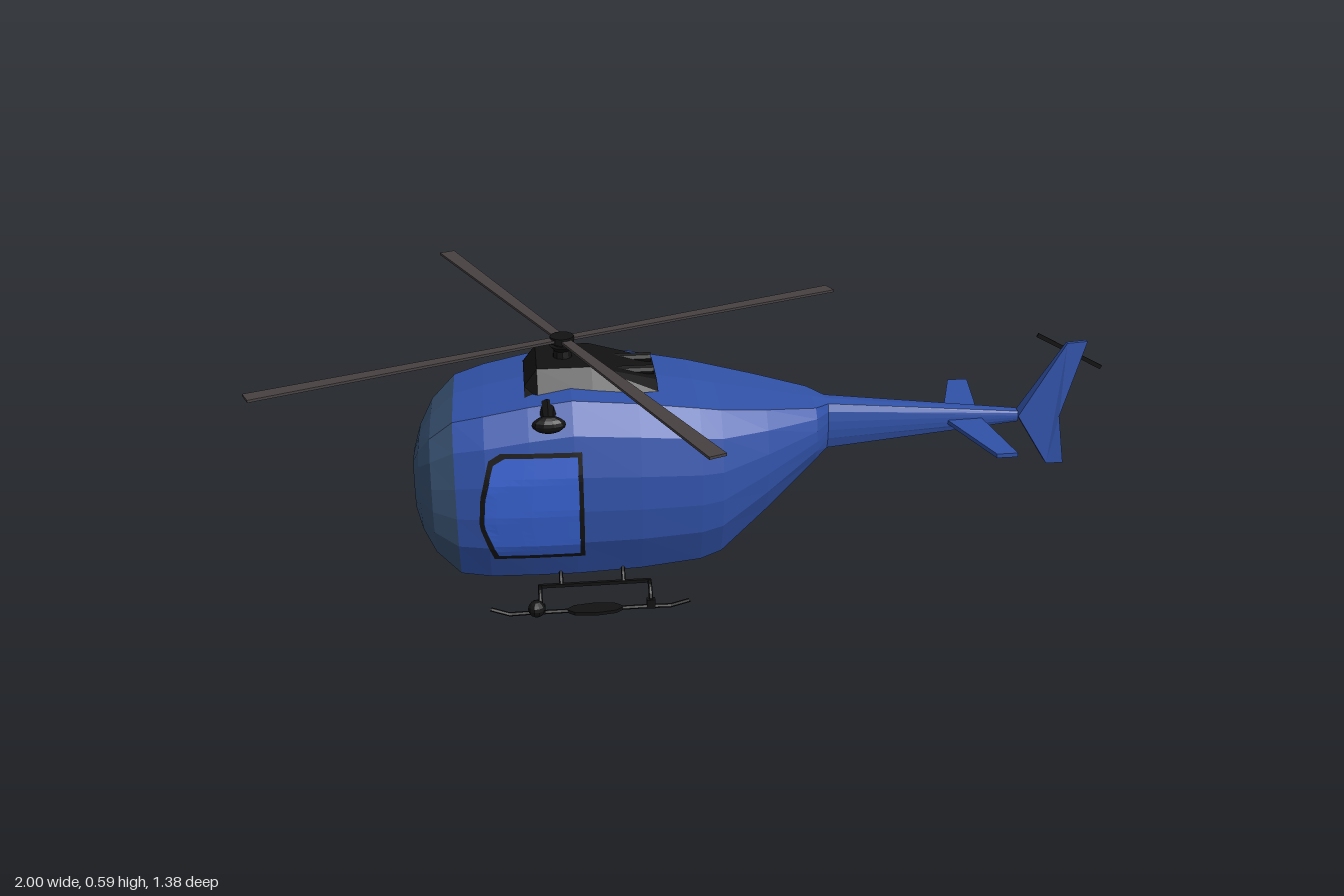
import * as THREE from 'three';

const mat = (color) => new THREE.MeshStandardMaterial({ color, flatShading: true, side: THREE.DoubleSide });
const BLUE = mat(0x3152a8), DOOR = mat(0x365fcb), GLASS = mat(0x3a5475);
const BLACK = mat(0x121212), BLADE = mat(0x474142);

// Fuselage stations: x, half width, bottom y, top y
const STATIONS = [
  [-0.67, 0.06, 0.19, 0.31], [-0.655, 0.115, 0.155, 0.355], [-0.625, 0.175, 0.115, 0.405],
  [-0.57, 0.212, 0.07, 0.457], [-0.5, 0.235, 0.067, 0.475], [-0.4, 0.243, 0.067, 0.495],
  [-0.3, 0.246, 0.067, 0.508], [-0.15, 0.241, 0.071, 0.492], [-0.01, 0.222, 0.078, 0.468],
  [0.04, 0.21, 0.092, 0.457], [0.15, 0.165, 0.178, 0.436], [0.275, 0.1, 0.278, 0.412],
  [0.312, 0.042, 0.288, 0.404], [0.785, 0.016, 0.325, 0.352],
];
// Half cross-section: fraction of half width, fraction of height
const PROFILE = [[0, 0], [0.77, 0.005], [0.96, 0.24], [1, 0.43], [0.985, 0.62], [0.9, 0.83], [0.69, 0.975], [0, 1]];

const halfRing = ([x, w, lo, hi]) => PROFILE.map(([z, y]) => [x, lo + y * (hi - lo), z * w]);
const closeRing = (half) => [...half, ...half.slice(1, -1).reverse().map(([x, y, z]) => [x, y, -z])];

// Skin over closed rings that follow one another along +x
function loft(rings, capStart = true, capEnd = true) {
  const n = rings[0].length, index = [];
  for (let i = 0; i < rings.length - 1; i++) {
    for (let j = 0; j < n; j++) {
      const k = (j + 1) % n, a = i * n + j, b = i * n + k;
      index.push(a, a + n, b, b, a + n, b + n);
    }
  }
  const e = (rings.length - 1) * n;
  for (let j = 1; j < n - 1; j++) {
    if (capStart) index.push(0, j, j + 1);
    if (capEnd) index.push(e, e + j + 1, e + j);
  }
  return buffer(rings.flat(2), index);
}

function buffer(positions, index) {
  const g = new THREE.BufferGeometry();
  g.setAttribute('position', new THREE.Float32BufferAttribute(positions, 3));
  g.setIndex(index);
  g.computeVertexNormals();
  return g;
}

// Half width of the fuselage skin at (x, y)
function skinZ(x, y) {
  const i = Math.max(1, STATIONS.findIndex((s) => s[0] >= x));
  const A = STATIONS[i - 1], B = STATIONS[i], t = (x - A[0]) / (B[0] - A[0]);
  const half = halfRing(A.map((v, k) => v + (B[k] - v) * t));
  const j = Math.max(1, half.findIndex((p) => p[1] >= y));
  const p = half[j - 1], q = half[j];
  return p[2] + ((q[2] - p[2]) * (y - p[1])) / (q[1] - p[1]);
}

// Door panel hugging the skin; grow widens the outline, lift raises it
const DOOR_EDGE = [[0.14, -0.48], [0.225, -0.51], [0.29, -0.505], [0.372, -0.483], [0.388, -0.455]];
function doorPatch(side, grow, lift) {
  const pos = [], index = [], rows = 16, cols = 8;
  for (let r = 0; r <= rows; r++) {
    const y0 = 0.14 + (0.248 * r) / rows;
    const k = Math.max(1, DOOR_EDGE.findIndex((p) => p[0] >= y0 - 1e-6));
    const [p, q] = [DOOR_EDGE[k - 1], DOOR_EDGE[k]];
    const left = p[1] + ((q[1] - p[1]) * (y0 - p[0])) / (q[0] - p[0]) - grow, right = -0.293 + grow;
    const y = y0 + grow * ((2 * r) / rows - 1);
    for (let c = 0; c <= cols; c++) {
      const x = left + ((right - left) * c) / cols;
      pos.push(x, y, side * (skinZ(x, y) + lift));
      if (r < rows && c < cols) {
        const a = r * (cols + 1) + c, b = a + cols + 1;
        if (side > 0) index.push(a, a + 1, b, b, a + 1, b + 1);
        else index.push(a, b, a + 1, b, b + 1, a + 1);
      }
    }
  }
  return buffer(pos, index);
}

const tube = (pts, r) => new THREE.TubeGeometry(
  new THREE.CatmullRomCurve3(pts.map((p) => new THREE.Vector3(...p))), 10, r, 6);

export function createModel() {
  const root = new THREE.Group();
  const add = (name, geo, material, x = 0, y = 0, z = 0, parent = root) => {
    const m = new THREE.Mesh(geo, material);
    m.name = name;
    m.position.set(x, y, z);
    parent.add(m);
    return m;
  };

  // Fuselage with glazed nose, tapering into the tail boom
  const rings = STATIONS.map((s) => closeRing(halfRing(s)));
  add('noseGlass', loft(rings.slice(0, 4), true, false), GLASS);
  add('cabin', loft(rings.slice(3, 13), false, false), BLUE);
  add('tailBoom', loft(rings.slice(12), false, true), BLUE);

  // Doors on both sides
  for (const side of [1, -1]) {
    add('doorFrame', doorPatch(side, 0.01, 0.002), BLACK);
    add('door', doorPatch(side, 0, 0.0045), DOOR);
  }

  // Engine cover on the roof
  const cover = [[-0.405, 0.12, 0.5], [-0.375, 0.118, 0.54], [-0.25, 0.118, 0.54], [-0.1, 0.108, 0.5]];
  add('engineCover', loft(cover.map(([x, w, top]) =>
    closeRing([[x, 0.46, 0], [x, 0.485, w], [x, top, w * 0.65], [x, top, 0]]))), BLACK);
  for (const z of [0.04, -0.04]) {
    const pipe = add('exhaust', new THREE.CylinderGeometry(0.012, 0.012, 0.09, 8), BLACK, -0.15, 0.513, z);
    pipe.rotation.z = Math.PI / 2;
  }

  // Side pod on the left shoulder
  const arm = add('podArm', new THREE.CylinderGeometry(0.014, 0.02, 0.1, 8), BLACK, -0.355, 0.475, 0.195);
  arm.rotation.x = Math.PI / 2;
  add('pod', new THREE.SphereGeometry(0.02, 10, 8), BLACK, -0.355, 0.475, 0.246).scale.x = 1.9;

  // Main rotor: mast, hub and four blades
  const rotor = new THREE.Group();
  rotor.name = 'mainRotor';
  rotor.position.set(-0.313, 0.582, 0);
  root.add(rotor);
  add('mast', new THREE.CylinderGeometry(0.017, 0.025, 0.06, 10), BLACK, 0, -0.03, 0, rotor);
  add('hub', new THREE.CylinderGeometry(0.028, 0.028, 0.016, 12), BLACK, 0, 0, 0, rotor);
  add('swashPlate', new THREE.CylinderGeometry(0.03, 0.02, 0.012, 12), BLACK, 0, -0.02, 0, rotor);
  for (let i = 0; i < 4; i++) {
    const geo = new THREE.BoxGeometry(0.73, 0.006, 0.04).translate(0.37, 0, 0);
    const p = geo.attributes.position;
    for (let k = 0; k < p.count; k++) if (p.getX(k) < 0.1) p.setZ(k, p.getZ(k) * 0.6);
    add('rotorBlade', geo, BLADE, 0, 0, 0, rotor).rotation.y = 0.388 + (i * Math.PI) / 2;
  }

  // Tail fin, thinning towards its top
  const outline = [[0.785, 0.34], [0.895, 0.52], [0.945, 0.523], [0.888, 0.335], [0.908, 0.21], [0.866, 0.21]];
  const finGeo = new THREE.ExtrudeGeometry(
    new THREE.Shape(outline.map((p) => new THREE.Vector2(...p))), { depth: 0.04, bevelEnabled: false });
  finGeo.translate(0, 0, -0.02);
  const fp = finGeo.attributes.position;
  for (let k = 0; k < fp.count; k++) fp.setZ(k, fp.getZ(k) * (fp.getY(k) > 0.5 ? 0.25 : 0.85));
  add('tailFin', finGeo, BLUE);

  // Swept stabilizers, drawn in plan
  for (const side of [1, -1]) {
    const plan = [[0.6, 0], [0.672, 0.228], [0.722, 0.228], [0.69, 0]];
    const geo = new THREE.ExtrudeGeometry(
      new THREE.Shape(plan.map(([x, z]) => new THREE.Vector2(x, side * z))), { depth: 0.01, bevelEnabled: false });
    add('stabilizer', geo.rotateX(Math.PI / 2), BLUE, 0, 0.342, 0);
  }

  // Tail rotor
  const tail = new THREE.Group();
  tail.name = 'tailRotor';
  tail.position.set(0.915, 0.485, -0.032);
  tail.rotation.z = -0.5;
  root.add(tail);
  add('tailBlades', new THREE.BoxGeometry(0.19, 0.01, 0.004), BLACK, 0, 0, 0, tail);
  const tailHub = add('tailHub', new THREE.CylinderGeometry(0.01, 0.01, 0.04, 8), BLACK, 0, 0, 0.012, tail);
  tailHub.rotation.x = Math.PI / 2;

  // Landing skids
  for (const s of [1, -1]) {
    const skid = new THREE.Group();
    skid.name = 'landingSkid';
    root.add(skid);
    const z = 0.25 * s;
    add('runner', tube([[-0.505, 0.02, z], [-0.485, 0.007, z], [-0.4, 0.005, z],
      [-0.15, 0.005, z], [-0.06, 0.006, z], [-0.045, 0.015, z]], 0.005), BLACK, 0, 0, 0, skid);
    add('rail', new THREE.BoxGeometry(0.26, 0.008, 0.008), BLACK, -0.263, 0.051, 0.21 * s, skid);
    for (const x of [-0.39, -0.135]) {
      add('leg', tube([[x, 0.051, 0.206 * s], [x, 0.046, 0.232 * s], [x, 0.028, 0.248 * s], [x, 0.004, z]], 0.005),
        BLACK, 0, 0, 0, skid);
      add('foot', new THREE.BoxGeometry(0.02, 0.022, 0.014), BLACK, x, 0.013, z, skid);
    }
    for (const x of [-0.34, -0.195]) {
      add('strut', tube([[x, 0.085, 0.185 * s], [x, 0.065, 0.195 * s], [x, 0.051, 0.21 * s]], 0.005),
        BLACK, 0, 0, 0, skid);
    }
    const pad = add('skidPad', new THREE.CylinderGeometry(0.068, 0.068, 0.008, 8), BLACK, -0.265, 0.005, z, skid);
    pad.scale.z = 0.35;
  }

  // Lamp on the left skid
  add('skidLamp', new THREE.SphereGeometry(0.02, 10, 8), BLACK, -0.4, 0.036, 0.287);
  add('lampBracket', new THREE.BoxGeometry(0.012, 0.012, 0.04), BLACK, -0.4, 0.028, 0.262);

  return root;
}
